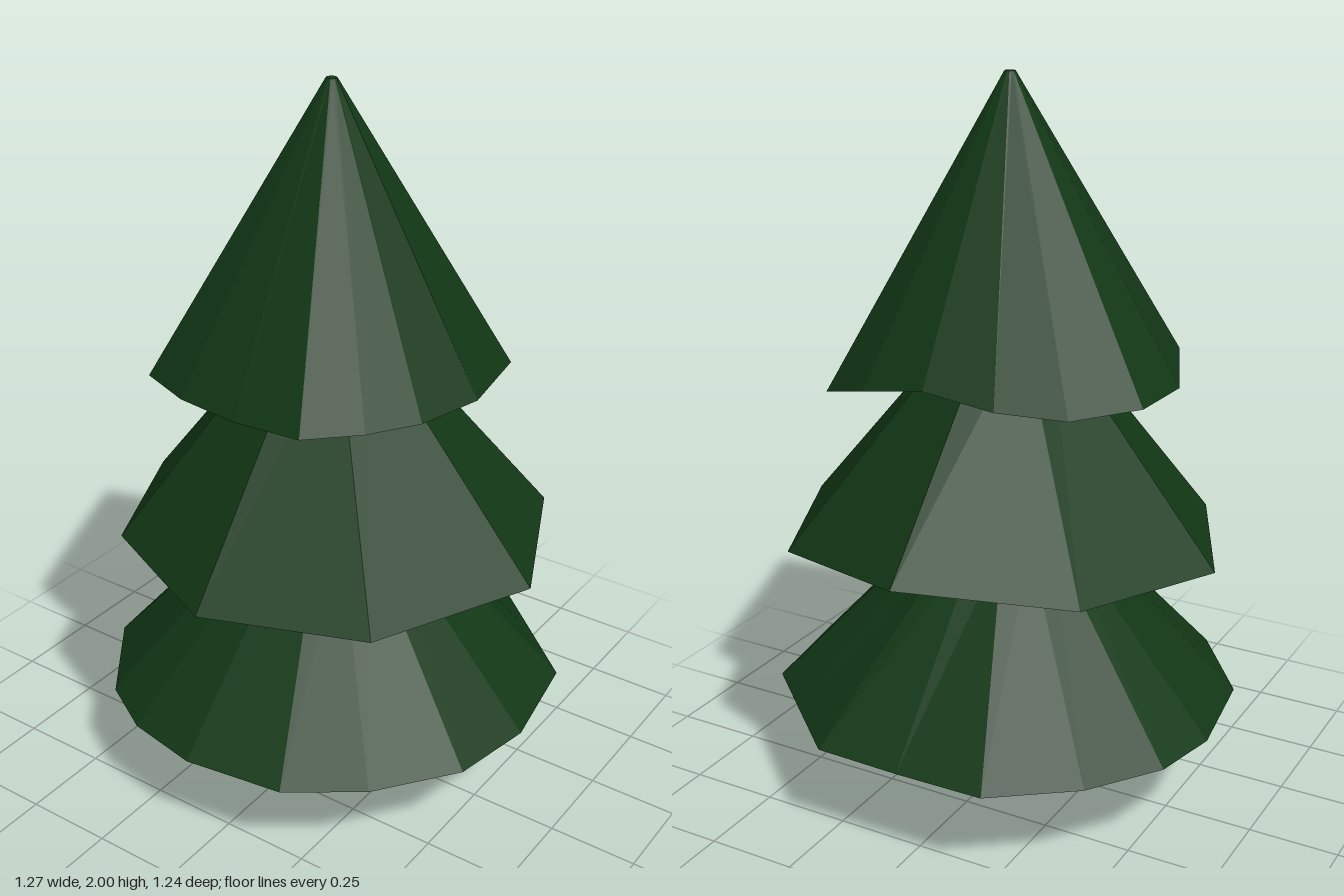
import * as THREE from 'three';

const needles = new THREE.MeshStandardMaterial({ color: 0x123816 });
needles.name = 'dark green';
const bark = new THREE.MeshStandardMaterial({ color: 0x50310f });
bark.name = 'brown';

// Ring of the given radius whose corners follow the angles of a rim
function ringAlong(rim, radius, y, cx = 0, cz = 0) {
  return rim.map(([x, , z]) => {
    const a = Math.atan2(z, x);
    return [cx + radius * Math.cos(a), y, cz + radius * Math.sin(a)];
  });
}

// Faceted skin through rings, listed from the underside, over the rim, to the top
function loft(rings) {
  const pos = [];
  for (let r = 0; r < rings.length - 1; r++) {
    const a = rings[r], b = rings[r + 1], n = a.length;
    for (let i = 0; i < n; i++) {
      const j = (i + 1) % n;
      pos.push(...a[i], ...b[i], ...a[j], ...a[j], ...b[i], ...b[j]);
    }
  }
  const geo = new THREE.BufferGeometry();
  geo.setAttribute('position', new THREE.Float32BufferAttribute(pos, 3));
  geo.computeVertexNormals();
  return geo;
}

// Eight-sided post
function post(name, radius, y0, y1, material) {
  const geo = new THREE.CylinderGeometry(radius, radius, y1 - y0, 8).toNonIndexed();
  geo.computeVertexNormals();
  const mesh = new THREE.Mesh(geo, material);
  mesh.name = name;
  mesh.position.set(-0.005, (y0 + y1) / 2, -0.007);
  return mesh;
}

// Uneven rims, as [x, z, optional own height], going round from +x towards +z
const tiers = [
  {
    name: 'lowerBranches', y: 0.28, inner: [0.1, 0.28], top: [0.185, 0.77],
    rim: [[0.635, 0], [0.59, 0.235], [0.43, 0.446], [0.24, 0.58], [-0.04, 0.62], [-0.25, 0.58],
      [-0.41, 0.488], [-0.597, 0.236], [-0.64, -0.067], [-0.597, -0.257], [-0.462, -0.447],
      [-0.25, -0.605], [0, -0.61], [0.245, -0.605], [0.42, -0.45], [0.583, -0.305]],
  },
  {
    name: 'middleBranches', y: 0.75, inner: [0.17, 0.91], top: [0.12, 1.35],
    rim: [[0.635, 0], [0.43, 0.445], [0, 0.605], [-0.42, 0.41], [-0.615, 0, 0.74],
      [-0.42, -0.4], [0, -0.615, 0.8], [0.435, -0.445]],
  },
  {
    name: 'upperBranches', y: 1.23, inner: [0.1, 1.6], top: [0.015, 2],
    rim: [[0.44, -0.02, 1.235], [0.39, 0.165], [0.307, 0.295], [0.19, 0.41], [0, 0.425], [-0.19, 0.4],
      [-0.35, 0.337], [-0.495, 0], [-0.485, -0.2], [-0.36, -0.36, 1.225], [-0.19, -0.425, 1.24],
      [0, -0.445, 1.27], [0.19, -0.425, 1.235], [0.35, -0.357, 1.19]],
  },
];

export function createModel() {
  const tree = new THREE.Group();
  tree.name = 'pineTree';

  tree.add(post('trunk', 0.155, 0, 0.29, bark));

  // Branch tiers, hollow underneath where the inner ring is raised
  for (const t of tiers) {
    const rim = t.rim.map(([x, z, y = t.y]) => [x, y, z]);
    const mesh = new THREE.Mesh(loft([
      ringAlong(rim, ...t.inner),
      rim,
      ringAlong(rim, ...t.top, -0.007, -0.01),
      ringAlong(rim, 0, t.top[1], -0.007, -0.01),
    ]), needles);
    mesh.name = t.name;
    tree.add(mesh);
  }

  // Stems joining the tiers
  tree.add(post('lowerStem', 0.19, 0.72, 0.915, needles));
  tree.add(post('upperStem', 0.12, 1.3, 1.6, needles));
  return tree;
}
